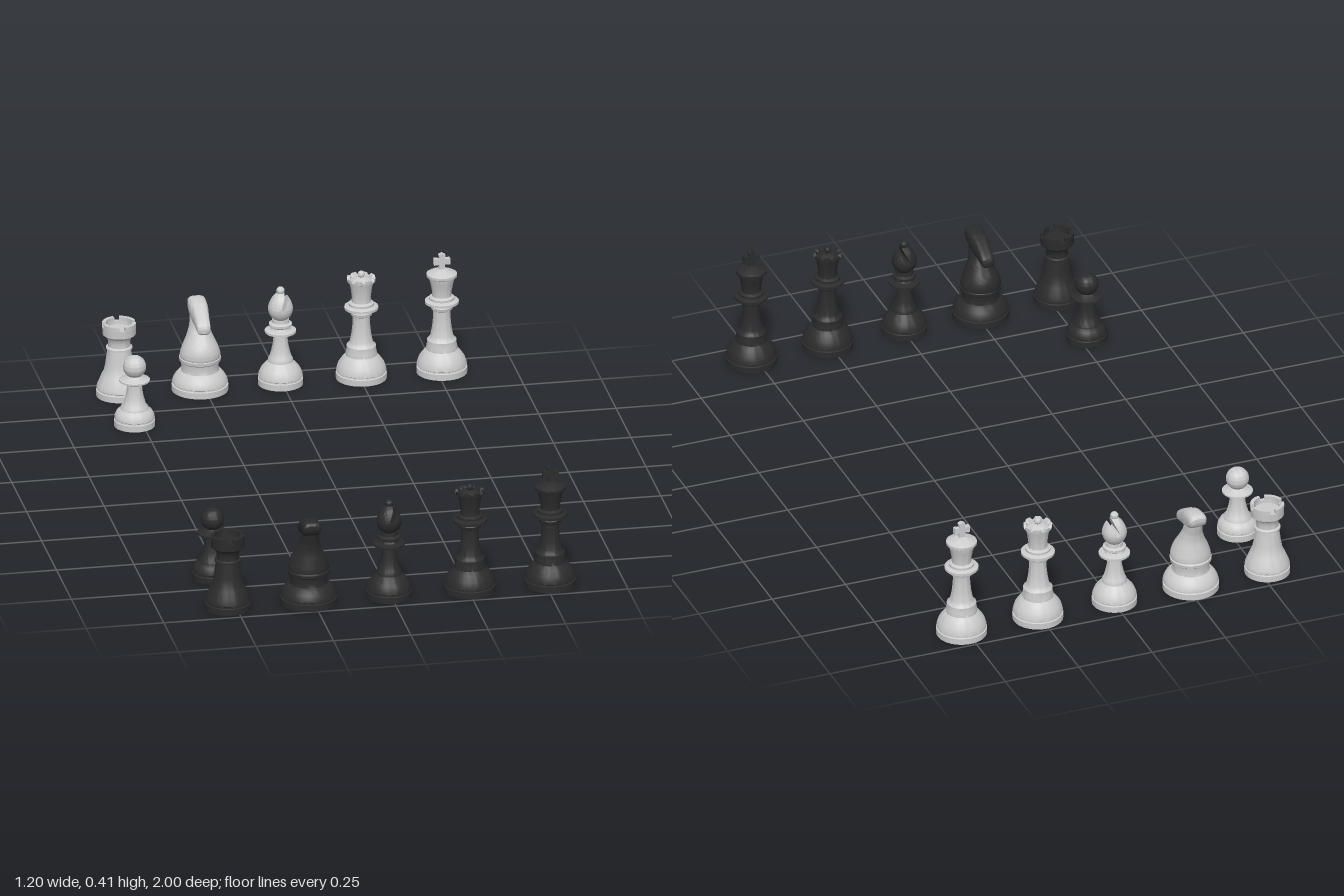
import * as THREE from 'three';
import { toCreasedNormals } from 'three/addons/utils/BufferGeometryUtils.js';

const V2 = (p) => new THREE.Vector2(p[0], p[1]);
const V3 = (x, y, z) => new THREE.Vector3(x, y, z);

// stepped foot shared by the turned pieces: plinth, groove, rounded shoulder
const foot = (r) => [[0, 0], [r, 0], [r, 0.02], [r * 0.95, 0.022], [r * 0.95, 0.026],
  [r * 0.99, 0.028], [r * 0.96, 0.038]];

function turned(profile, segments = 48) {
  return new THREE.LatheGeometry(profile.map(V2), segments);
}

// closed skin over rings that run counter-clockwise around the travel direction
function loft(rings) {
  const n = rings[0].length, pos = [], idx = [];
  rings.forEach((ring) => ring.forEach((p) => pos.push(p.x, p.y, p.z)));
  for (let i = 0; i < rings.length - 1; i++) {
    for (let j = 0; j < n; j++) {
      const a = i * n + j, b = i * n + (j + 1) % n;
      idx.push(a, b, a + n, b, b + n, a + n);
    }
  }
  [rings[0], rings[rings.length - 1]].forEach((ring, end) => {
    const c = ring.reduce((s, p) => s.add(p), V3(0, 0, 0)).divideScalar(n);
    const ci = pos.length / 3, o = end ? (rings.length - 1) * n : 0;
    pos.push(c.x, c.y, c.z);
    for (let j = 0; j < n; j++) {
      const a = o + j, b = o + (j + 1) % n;
      if (end) idx.push(ci, a, b); else idx.push(ci, b, a);
    }
  });
  const g = new THREE.BufferGeometry();
  g.setAttribute('position', new THREE.Float32BufferAttribute(pos, 3));
  g.setIndex(idx);
  return g;
}

// smooth interpolation through rows of numbers
function resample(rows, count) {
  const channel = (k) => new THREE.CatmullRomCurve3(rows.map((r) => V3(r[k], r[k + 1], 0)));
  const a = channel(0), b = channel(2);
  return Array.from({ length: count + 1 }, (_, i) => {
    const p = a.getPoint(i / count), q = b.getPoint(i / count);
    return [p.x, p.y, q.x, q.y];
  });
}

function piece(name, material, parts) {
  const group = new THREE.Group();
  group.name = name;
  for (const [partName, geometry] of parts) {
    const mesh = new THREE.Mesh(toCreasedNormals(geometry, 0.6), material);
    mesh.name = partName;
    group.add(mesh);
  }
  return group;
}

function pawn(m) {
  return piece('pawn', m, [
    ['body', turned([...foot(0.065), [0.056, 0.05], [0.045, 0.058], [0.044, 0.064], [0.037, 0.072],
      [0.03, 0.095], [0.025, 0.12], [0.024, 0.14], [0.03, 0.146], [0.049, 0.152], [0.049, 0.157],
      [0.03, 0.163], [0.022, 0.17], [0, 0.172]])],
    ['ball', new THREE.SphereGeometry(0.037, 32, 20).translate(0, 0.2, 0)],
  ]);
}

function rook(m) {
  const parts = [['tower', turned([...foot(0.073), [0.064, 0.052], [0.056, 0.072], [0.049, 0.085],
    [0.044, 0.11], [0.04, 0.14], [0.037, 0.158], [0.042, 0.16], [0.042, 0.166], [0.036, 0.17],
    [0.035, 0.185], [0.04, 0.2], [0.053, 0.21], [0.054, 0.236], [0.042, 0.236], [0.041, 0.226], [0, 0.226]])]];
  // four battlements with gaps on the axes
  for (let k = 0; k < 4; k++) {
    const a = k * Math.PI / 2 + 0.18, b = (k + 1) * Math.PI / 2 - 0.18;
    const s = new THREE.Shape();
    s.absarc(0, 0, 0.054, a, b, false);
    s.absarc(0, 0, 0.042, b, a, true);
    const g = new THREE.ExtrudeGeometry(s, { depth: 0.014, bevelEnabled: false, curveSegments: 12 });
    parts.push(['battlement', g.rotateX(-Math.PI / 2).translate(0, 0.235, 0)]);
  }
  return piece('rook', m, parts);
}

function knight(m) {
  const N = 32;
  const power = (v, e) => Math.sign(v) * Math.abs(v) ** e;
  const angles = Array.from({ length: N }, (_, j) => j / N * Math.PI * 2);
  // neck rows: z, y, half depth, half width
  const neck = resample([[0, 0.1, 0.06, 0.06], [0.002, 0.122, 0.065, 0.065], [0.002, 0.15, 0.06, 0.057],
    [-0.006, 0.185, 0.045, 0.041], [-0.016, 0.215, 0.037, 0.031], [-0.025, 0.245, 0.036, 0.028],
    [-0.03, 0.265, 0.035, 0.027]], 24)
    .map(([z, y, d, w]) => angles.map((t) => V3(Math.sin(t) * w, y, z + Math.cos(t) * d)));
  // head rows: z, y, half height, half width
  const head = resample([[-0.073, 0.276, 0.01, 0.02], [-0.066, 0.274, 0.02, 0.028], [-0.045, 0.268, 0.028, 0.03],
    [-0.01, 0.259, 0.032, 0.029], [0.025, 0.247, 0.028, 0.025], [0.052, 0.236, 0.023, 0.023],
    [0.068, 0.229, 0.018, 0.021], [0.074, 0.227, 0.01, 0.013]], 28)
    .map(([z, y, h, w]) => angles.map((t) =>
      V3(power(Math.cos(t), 0.65) * w, y + power(Math.sin(t), 0.65) * h, z)));
  return piece('knight', m, [
    ['base', turned([...foot(0.09), [0.08, 0.05], [0.07, 0.062], [0.061, 0.068], [0.059, 0.082],
      [0.061, 0.098], [0.066, 0.102], [0.067, 0.112], [0.06, 0.118], [0, 0.118]])],
    ['neck', loft(neck)],
    ['head', loft(head)],
  ]);
}

// egg-shaped head with a slanted slot, sliced across the slot
function slottedHead() {
  const tilt = 1.02, c = Math.cos(tilt), s = Math.sin(tilt), half = 0.17, floor = -0.05, N = 64;
  const stations = [];
  for (let i = 0; i <= 16; i++) {
    const first = Math.PI - i / 16 * (Math.PI / 2 - Math.asin(half));
    stations.push([Math.cos(first), false]);
  }
  stations.push([-half, true], [half, true]);
  for (let i = 16; i >= 0; i--) stations.push([-stations[i][0], false]);
  return loft(stations.map(([d, cut]) => Array.from({ length: N }, (_, j) => {
    const t = j / N * Math.PI * 2, r = Math.sqrt(Math.max(0, 1 - d * d));
    const u = cut ? Math.min(r * Math.cos(t), floor) : r * Math.cos(t);
    const x = u * c + d * s, y = u * s - d * c, z = r * Math.sin(t);
    const w = 0.04 * (1 - 0.2 * Math.max(0, y));
    return V3(x * w, 0.259 + y * (y > 0 ? 0.053 : 0.046), z * w);
  })));
}

function bishop(m) {
  return piece('bishop', m, [
    ['body', turned([...foot(0.072), [0.062, 0.054], [0.05, 0.068], [0.04, 0.078], [0.039, 0.088],
      [0.035, 0.094], [0.029, 0.115], [0.024, 0.14], [0.022, 0.165], [0.028, 0.17], [0.05, 0.176],
      [0.05, 0.183], [0.033, 0.188], [0.03, 0.194], [0.037, 0.199], [0.037, 0.206], [0.028, 0.211],
      [0.027, 0.222], [0, 0.223]])],
    ['slottedHead', slottedHead()],
    ['finial', new THREE.SphereGeometry(0.0135, 24, 16).translate(0, 0.3165, 0)],
  ]);
}

// base, stem and collars common to the two tallest pieces
const tallStem = [...foot(0.081), [0.073, 0.052], [0.06, 0.07], [0.05, 0.08], [0.049, 0.092], [0.047, 0.1],
  [0.047, 0.112], [0.04, 0.118], [0.036, 0.128], [0.031, 0.155], [0.028, 0.185], [0.027, 0.212],
  [0.034, 0.216], [0.036, 0.225], [0.032, 0.23], [0.054, 0.236], [0.054, 0.244], [0.04, 0.249],
  [0.04, 0.256], [0.031, 0.261]];

function queen(m) {
  const body = turned([...tallStem, [0.03, 0.275], [0.034, 0.305], [0.039, 0.327], [0.045, 0.33],
    [0.046, 0.343], [0.037, 0.343], [0.033, 0.334], [0.022, 0.341], [0.01, 0.345], [0, 0.346]], 64);
  // scallop the coronet rim into eight points
  const p = body.attributes.position;
  for (let i = 0; i < p.count; i++) {
    const r = Math.hypot(p.getX(i), p.getZ(i));
    if (p.getY(i) > 0.342 && r > 0.03) {
      const t = Math.atan2(p.getX(i), p.getZ(i));
      p.setY(i, 0.343 - 0.01 * Math.max(0, Math.cos(8 * t)));
    }
  }
  return piece('queen', m, [
    ['body', body],
    ['finial', new THREE.SphereGeometry(0.0115, 24, 16).translate(0, 0.3525, 0)],
  ]);
}

function king(m) {
  // flared cross, extruded thin
  const quarter = [[0.008, 0.008], [0.0085, 0.021], [0.012, 0.03]];
  const cross = new THREE.Shape([[-0.012, 0.342], [0.012, 0.342], [0.008, 0.368], [0.026, 0.366],
    [0.026, 0.388], [0.008, 0.386], [0.011, 0.4], [0, 0.405], [-0.011, 0.4], [-0.008, 0.386],
    [-0.026, 0.388], [-0.026, 0.366], [-0.008, 0.368]].map(V2));
  return piece('king', m, [
    ['body', turned([...tallStem, [0.031, 0.275], [0.037, 0.305], [0.042, 0.323], [0.049, 0.327],
      [0.049, 0.336], [0.04, 0.341], [0.024, 0.347], [0.014, 0.352], [0, 0.353]])],
    ['cross', new THREE.ExtrudeGeometry(cross, { depth: 0.016, bevelEnabled: false }).translate(0, 0, -0.008)],
  ]);
}

export function createModel() {
  const root = new THREE.Group();
  root.name = 'chessPieces';
  const light = new THREE.MeshStandardMaterial({ color: 0xcccccc });
  const dark = new THREE.MeshStandardMaterial({ color: 0x2b2b2b });
  const backRow = [[rook, -0.526], [knight, -0.265], [bishop, -0.005], [queen, 0.256], [king, 0.516]];
  for (const [side, material, name] of [[-1, light, 'lightSide'], [1, dark, 'darkSide']]) {
    const army = new THREE.Group();
    army.name = name;
    const place = (make, x, z) => {
      const p = make(material);
      p.position.set(x, 0, z * side);
      // knights face the opposing side
      if (make === knight && side > 0) p.rotation.y = Math.PI;
      army.add(p);
    };
    backRow.forEach(([make, x]) => place(make, x, 0.91));
    place(pawn, -0.526, 0.652);
    root.add(army);
  }
  return root;
}
